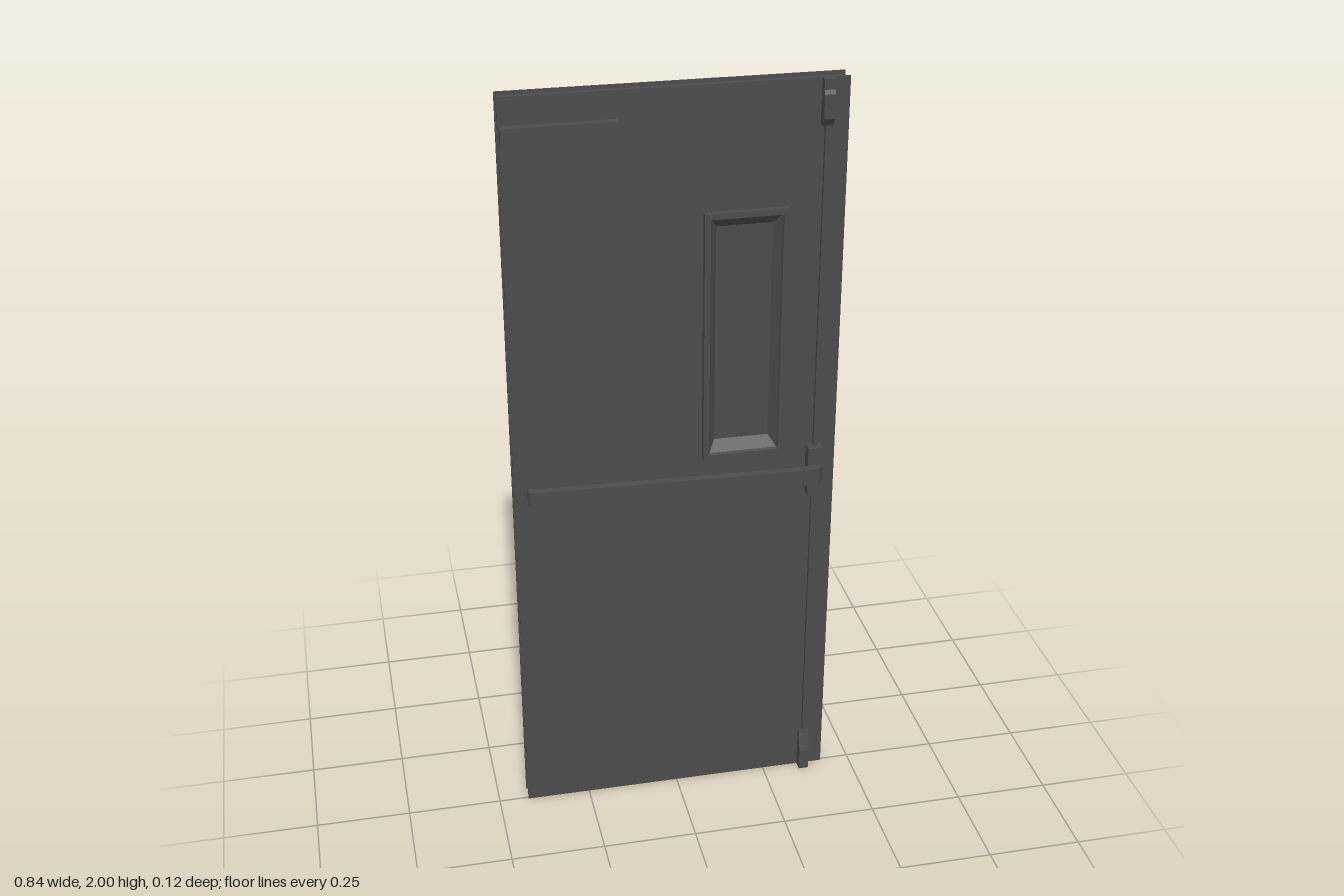
import * as THREE from 'three';

const steel = new THREE.MeshStandardMaterial({ color: 0x4b4b4b });
steel.name = 'dark grey steel';

const WIN = { x: 0.172, y: 1.352, hw: 0.106, hh: 0.334 };
const MID_Z = -0.0185;

function add(group, name, geometry) {
  const mesh = new THREE.Mesh(geometry, steel);
  mesh.name = name;
  group.add(mesh);
  return mesh;
}

// Box given by its limits
function box(group, name, x0, x1, y0, y1, z0, z1) {
  const mesh = add(group, name, new THREE.BoxGeometry(x1 - x0, y1 - y0, z1 - z0));
  mesh.position.set((x0 + x1) / 2, (y0 + y1) / 2, (z0 + z1) / 2);
  return mesh;
}

// Upright panel with the window opening cut out
function panel(group, name, x0, x1, y0, y1, z0, z1) {
  const rect = (C, a, b, c, d) => new C([[a, c], [b, c], [b, d], [a, d]].map(p => new THREE.Vector2(...p)));
  const shape = rect(THREE.Shape, x0, x1, y0, y1);
  const w = WIN.hw - 0.008, h = WIN.hh - 0.008;
  shape.holes.push(rect(THREE.Path, WIN.x - w, WIN.x + w, WIN.y - h, WIN.y + h));
  const geo = new THREE.ExtrudeGeometry(shape, { depth: z1 - z0, bevelEnabled: false });
  add(group, name, geo).position.z = z0;
}

// Outline in (x, z) extruded upward from y0 to y1
function planPrism(group, name, pts, y0, y1) {
  const shape = new THREE.Shape(pts.map(([x, z]) => new THREE.Vector2(x, -z)));
  const geo = new THREE.ExtrudeGeometry(shape, { depth: y1 - y0, bevelEnabled: false });
  geo.rotateX(-Math.PI / 2);
  add(group, name, geo).position.y = y0;
}

// Outline in (z, y) extruded across from x0 to x1
function sidePrism(group, name, pts, x0, x1) {
  const shape = new THREE.Shape(pts.map(([z, y]) => new THREE.Vector2(-z, y)));
  const geo = new THREE.ExtrudeGeometry(shape, { depth: x1 - x0, bevelEnabled: false });
  geo.rotateY(Math.PI / 2);
  add(group, name, geo).position.x = x0;
}

// Window trim: nested rectangles joined into a raised lip and sloping reveal
function windowTrim() {
  const { hw, hh } = WIN;
  const loops = [
    [hw, hh, 0.022], [hw, hh, 0.0415], [hw - 0.015, hh - 0.015, 0.0415],
    [hw - 0.018, hh - 0.018, 0.034], [hw - 0.036, hh - 0.045, 0.008],
  ].map(([w, h, z]) => [[-w, -h, z], [w, -h, z], [w, h, z], [-w, h, z]]);
  const pos = [];
  for (let i = 0; i < loops.length - 1; i++) {
    for (let j = 0; j < 4; j++) {
      const k = (j + 1) % 4;
      const [a, b, c, d] = [loops[i][j], loops[i][k], loops[i + 1][k], loops[i + 1][j]];
      pos.push(...a, ...b, ...c, ...a, ...c, ...d);
    }
  }
  const geo = new THREE.BufferGeometry();
  geo.setAttribute('position', new THREE.Float32BufferAttribute(pos, 3));
  geo.computeVertexNormals();
  return geo;
}

export function createModel() {
  const door = new THREE.Group();
  door.name = 'door';

  // Slab: recessed core between two thin face sheets
  panel(door, 'core', -0.416, 0.415, 0.009, 1.991, -0.039, 0.002);
  panel(door, 'frontSheet', -0.421, 0.42, 0, 2, 0.002, 0.006);
  panel(door, 'backSheet', -0.421, 0.42, 0, 2, -0.043, -0.039);

  // Window with matching trim on both faces
  const win = new THREE.Group();
  win.name = 'window';
  win.position.set(WIN.x, WIN.y, MID_Z);
  door.add(win);
  add(win, 'frontTrim', windowTrim());
  add(win, 'backTrim', windowTrim()).rotation.y = Math.PI;
  box(win, 'pane', -0.085, 0.085, -0.31, 0.31, -0.009, 0.009);

  // Door closer
  box(door, 'closer', -0.418, -0.14, 1.893, 1.932, 0.006, 0.031);

  // Vertical rods and end latches
  box(door, 'verticalRod', 0.36, 0.371, 0.05, 1.95, 0.006, 0.016);
  sidePrism(door, 'topLatch',
    [[0.006, 1.885], [0.018, 1.885], [0.033, 1.905], [0.033, 1.965], [0.027, 1.975], [0.027, 2], [0.006, 2]], 0.35, 0.377);
  sidePrism(door, 'bottomLatch',
    [[0.006, 0], [0.032, 0], [0.032, 0.06], [0.017, 0.122], [0.006, 0.122]], 0.35, 0.377);

  // Push bar with its latch housing
  box(door, 'latchHousingUpper', 0.342, 0.382, 0.978, 1.028, 0.006, 0.033);
  box(door, 'latchHousingMiddle', 0.342, 0.382, 0.935, 0.978, 0.006, 0.034);
  box(door, 'latchHousingLower', 0.344, 0.374, 0.888, 0.935, 0.006, 0.033);
  planPrism(door, 'pushBar', [[-0.365, 0.006], [-0.365, 0.028], [0.325, 0.054], [0.325, 0.033]], 0.937, 0.977);
  planPrism(door, 'pushBarHinge', [[-0.387, 0.006], [-0.387, 0.02], [-0.38, 0.028], [-0.365, 0.028], [-0.365, 0.006]], 0.935, 0.979);
  planPrism(door, 'pushBarEnd', [[0.325, 0.033], [0.325, 0.056], [0.365, 0.056], [0.383, 0.037], [0.383, 0.033]], 0.935, 0.979);

  return door;
}
